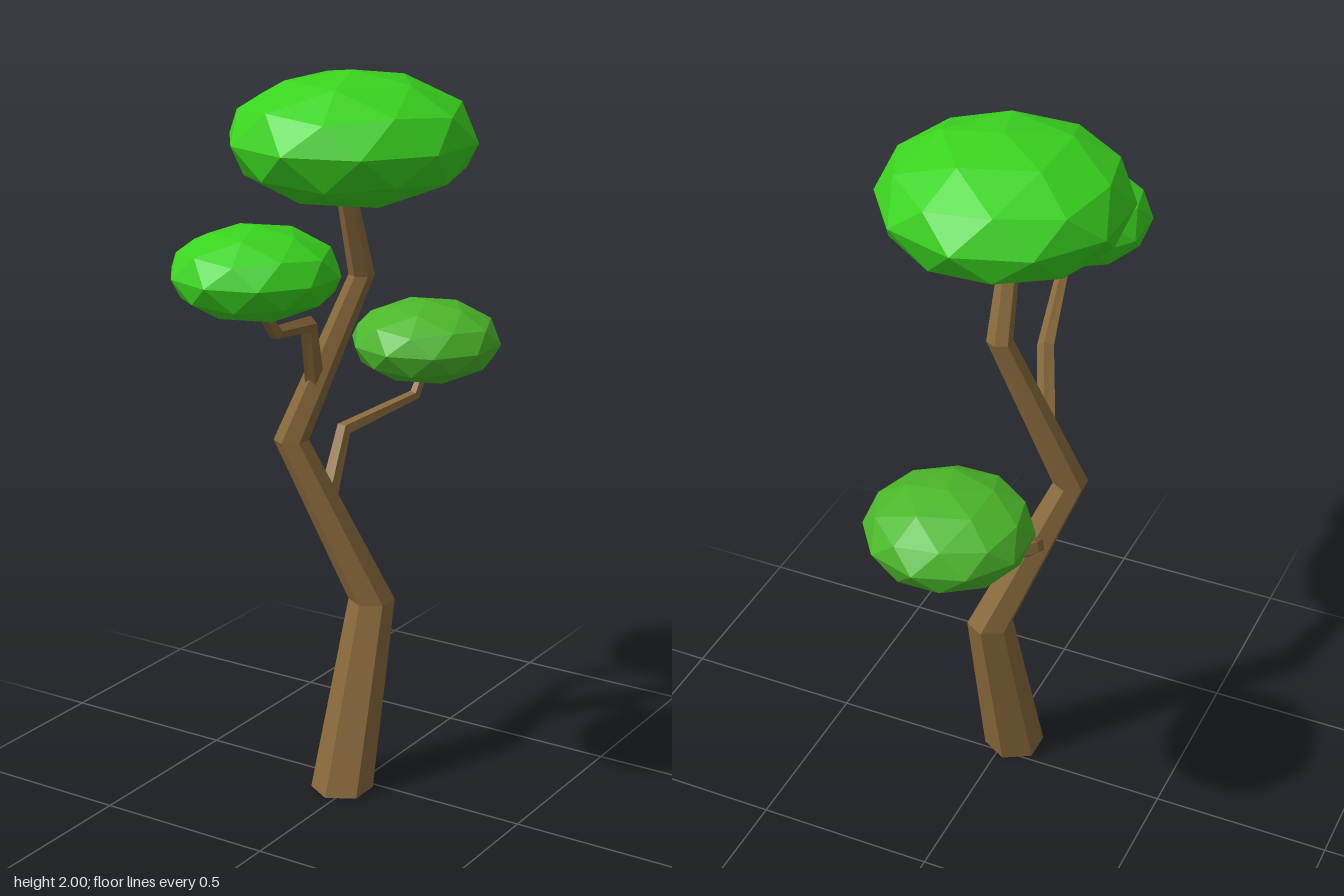
import * as THREE from 'three';

const X = new THREE.Vector3(1, 0, 0);
const UP = new THREE.Vector3(0, 1, 0);

// Faceted tapering limb through rings [x, y, z, radius]; level keeps the rings horizontal
function limb(name, rings, sides, material, level) {
  const centres = rings.map(([x, y, z]) => new THREE.Vector3(x, y, z));
  const last = rings.length - 1;
  const positions = [], index = [];
  rings.forEach((ring, i) => {
    const n = UP.clone();
    if (!level) {
      n.set(0, 0, 0);
      if (i > 0) n.add(centres[i].clone().sub(centres[i - 1]).normalize());
      if (i < last) n.add(centres[i + 1].clone().sub(centres[i]).normalize());
      n.normalize();
    }
    const u = X.clone().projectOnPlane(n).normalize();
    const v = n.clone().cross(u);
    for (let k = 0; k < sides; k++) {
      const a = Math.PI / 2 + (k / sides) * Math.PI * 2;
      const p = centres[i].clone()
        .addScaledVector(u, ring[3] * Math.cos(a))
        .addScaledVector(v, ring[3] * Math.sin(a));
      positions.push(p.x, p.y, p.z);
    }
  });
  for (let i = 0; i < last; i++) {
    for (let k = 0; k < sides; k++) {
      const a = i * sides + k, b = i * sides + (k + 1) % sides;
      index.push(a, b, b + sides, a, b + sides, a + sides);
    }
  }
  // End caps
  const top = last * sides;
  for (let k = 1; k < sides - 1; k++) {
    index.push(0, k + 1, k, top, top + k, top + k + 1);
  }
  const indexed = new THREE.BufferGeometry();
  indexed.setAttribute('position', new THREE.Float32BufferAttribute(positions, 3));
  indexed.setIndex(index);
  const geometry = indexed.toNonIndexed();
  geometry.computeVertexNormals();
  const mesh = new THREE.Mesh(geometry, material);
  mesh.name = name;
  return mesh;
}

// Flattened icosphere with one vertex pointing straight up
function foliage(name, [x, y, z], radius, halfHeight, material) {
  const geometry = new THREE.IcosahedronGeometry(1, 1);
  geometry.rotateX(-Math.atan((1 + Math.sqrt(5)) / 2));
  geometry.rotateY(Math.PI / 2);
  geometry.scale(radius, halfHeight, radius);
  geometry.computeVertexNormals();
  const mesh = new THREE.Mesh(geometry, material);
  mesh.name = name;
  mesh.position.set(x, y, z);
  return mesh;
}

export function createModel() {
  const tree = new THREE.Group();
  tree.name = 'tree';
  const paint = (color) => new THREE.MeshStandardMaterial({ color, flatShading: true });
  const bark = paint(0x8a6a3c);
  const leaf = paint(0x3ad41f);
  const paleLeaf = paint(0x4cb82a);

  // Zigzag trunk
  tree.add(limb('trunk', [
    [-0.025, 0, 0.06, 0.086],
    [0, 0.53, -0.055, 0.064],
    [-0.185, 0.99, 0.06, 0.048],
    [-0.02, 1.45, -0.035, 0.035],
    [-0.012, 1.71, 0.06, 0.026],
  ], 6, bark, true));

  // Side branches
  tree.add(limb('frontBranch', [
    [-0.13, 1.14, 0.025, 0.028],
    [-0.075, 1.345, 0.14, 0.024],
    [-0.012, 1.385, 0.38, 0.019],
    [-0.01, 1.48, 0.465, 0.013],
  ], 5, bark, false));
  tree.add(limb('backBranch', [
    [-0.11, 0.79, 0.01, 0.028],
    [-0.185, 0.95, -0.2, 0.023],
    [-0.09, 1.01, -0.43, 0.017],
    [-0.08, 1.09, -0.47, 0.013],
  ], 5, bark, false));

  // Leaf clumps
  tree.add(foliage('topFoliage', [0, 1.825, 0.04], 0.33, 0.175, leaf));
  tree.add(foliage('frontFoliage', [-0.01, 1.557, 0.467], 0.217, 0.117, leaf));
  tree.add(foliage('backFoliage', [-0.076, 1.165, -0.467], 0.217, 0.117, paleLeaf));
  return tree;
}
